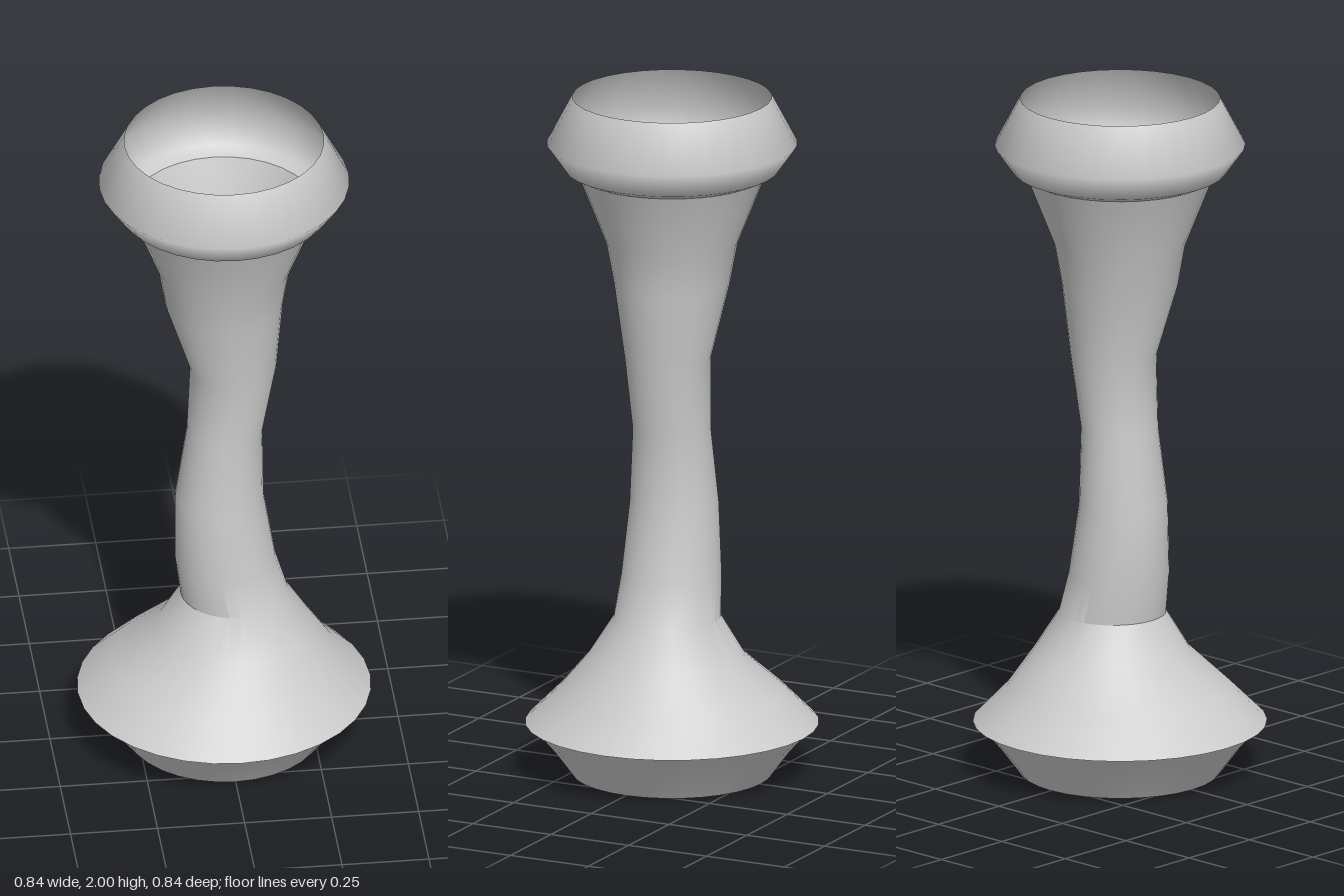
import * as THREE from 'three';
import { toCreasedNormals } from 'three/addons/utils/BufferGeometryUtils.js';

const SIDES = 32;

// Open shell through elliptical rings [y, left x, right x, z radius], listed bottom to top
function shell(name, rings, crease) {
  const positions = [], index = [];
  rings.forEach(([y, left, right, rz], i) => {
    for (let j = 0; j < SIDES; j++) {
      const a = (j / SIDES) * Math.PI * 2;
      positions.push((left + right) / 2 + Math.cos(a) * (right - left) / 2, y, Math.sin(a) * rz);
      if (i === 0) continue;
      const k = (j + 1) % SIDES, lo = (i - 1) * SIDES, hi = i * SIDES;
      index.push(lo + j, hi + j, lo + k, lo + k, hi + j, hi + k);
    }
  });
  let geometry = new THREE.BufferGeometry();
  geometry.setAttribute('position', new THREE.Float32BufferAttribute(positions, 3));
  geometry.setIndex(index);
  geometry.computeVertexNormals();
  if (crease) geometry = toCreasedNormals(geometry, crease);
  const material = new THREE.MeshStandardMaterial({ color: 0xcccccc, side: THREE.DoubleSide });
  const mesh = new THREE.Mesh(geometry, material);
  mesh.name = name;
  return mesh;
}

const round = (y, r) => [y, -r, r, r];

export function createModel() {
  const model = new THREE.Group();
  model.name = 'hollowPedestal';

  // Tapered base below the flared foot
  model.add(shell('base', [round(0, 0.285), round(0.085, 0.348), round(0.145, 0.4)]));

  // Thin lip under the edge of the foot
  model.add(shell('footLip', [round(0.145, 0.4), round(0.15, 0.42)]));

  // Flared foot and bent, hollow stem
  model.add(shell('stem', [
    round(0.15, 0.42),
    [0.25, -0.32, 0.325, 0.32],
    [0.355, -0.19, 0.255, 0.225],
    [0.47, -0.125, 0.183, 0.153],
    [0.59, -0.14, 0.147, 0.144],
    [0.8, -0.14, 0.113, 0.128],
    [1.02, -0.107, 0.11, 0.113],
    [1.235, -0.098, 0.15, 0.123],
    [1.45, -0.168, 0.168, 0.165],
    round(1.57, 0.188),
    round(1.77, 0.267),
  ], 0.53));

  // Rounded, open collar
  model.add(shell('collar', [
    round(1.77, 0.267), round(1.787, 0.305), round(1.862, 0.358), round(2, 0.285),
  ]));

  return model;
}
